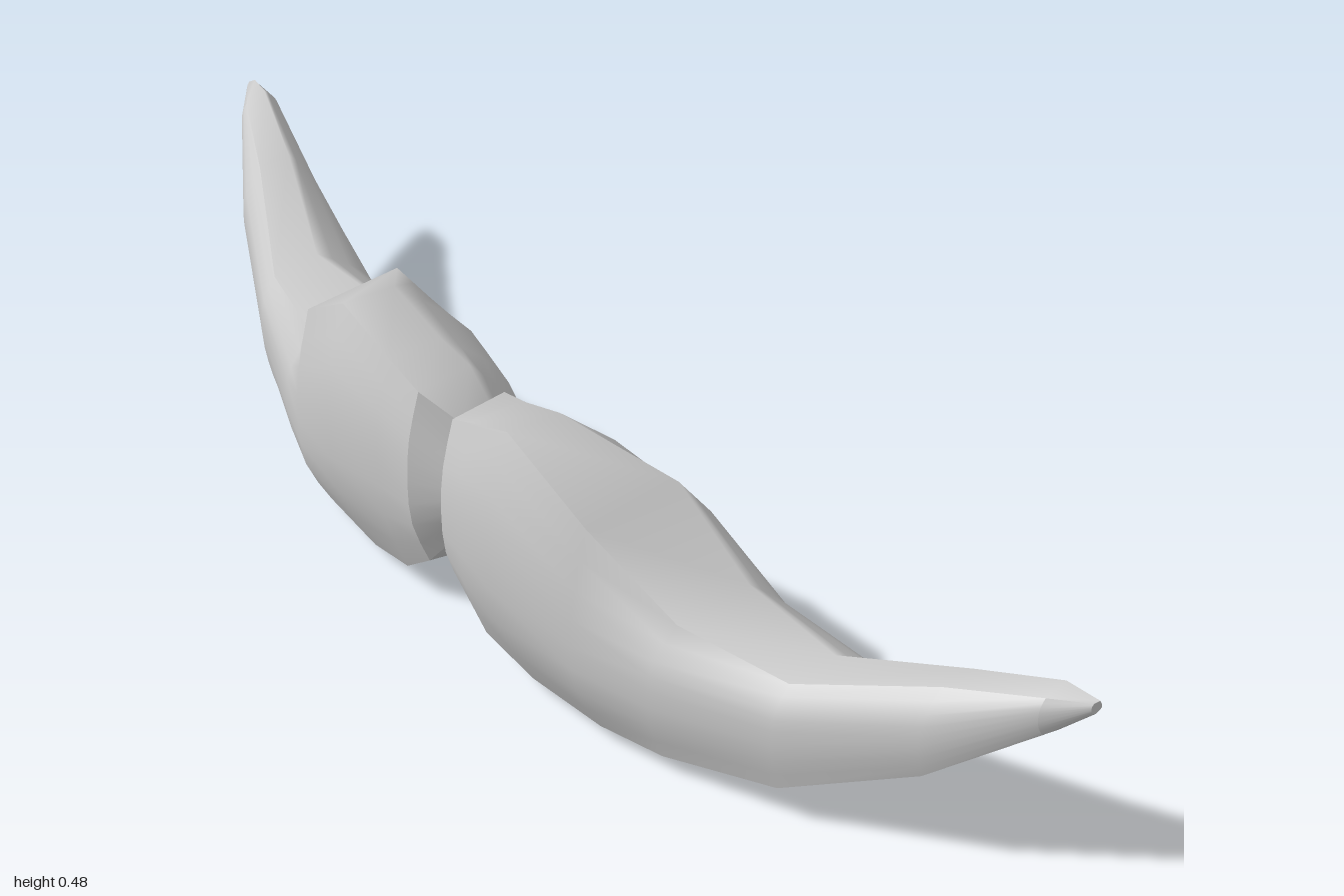
import * as THREE from 'three';

// Cross-sections along one half: x, then (y, z) of
// upper front edge, front bulge, lower front edge, underside, back, upper back
const SECTIONS = [
  [0.00, 0.355, 0.10, 0.26, 0.135, 0.17, 0.10, 0.16, 0.06, 0.26, -0.005, 0.365, 0.05],
  [0.042, 0.41, 0.15, 0.26, 0.172, 0.105, 0.135, 0.095, 0.07, 0.25, -0.035, 0.42, 0.06],
  [0.10, 0.44, 0.16, 0.28, 0.185, 0.06, 0.135, 0.05, 0.05, 0.25, -0.07, 0.44, 0.07],
  [0.20, 0.485, 0.17, 0.29, 0.204, 0.035, 0.125, 0.02, 0.04, 0.22, -0.105, 0.48, 0.08],
  [0.34, 0.39, 0.14, 0.20, 0.165, 0.032, 0.11, 0.003, 0.03, 0.17, -0.135, 0.402, -0.02],
  [0.45, 0.26, 0.065, 0.17, 0.115, 0.038, 0.085, 0.012, -0.01, 0.14, -0.157, 0.275, -0.06],
  [0.63, 0.25, 0.015, 0.18, 0.042, 0.073, 0.027, 0.06, -0.07, 0.14, -0.177, 0.262, -0.065],
  [0.82, 0.32, -0.085, 0.25, -0.05, 0.18, -0.06, 0.175, -0.12, 0.23, -0.195, 0.325, -0.14],
  [0.95, 0.357, -0.145, 0.33, -0.135, 0.295, -0.145, 0.29, -0.175, 0.33, -0.206, 0.37, -0.18],
  [1.00, 0.362, -0.183, 0.354, -0.179, 0.345, -0.183, 0.343, -0.188, 0.35, -0.198, 0.362, -0.194],
];

// Points of one section, in order around it
const corners = (s) => [0, 1, 2, 3, 4, 5].map((i) => new THREE.Vector3(s[0], s[1 + 2 * i], s[2 + 2 * i]));

// Full, rounded arc from a to b by way of the bulge m
function bulge(a, m, b, fullness, n) {
  const between = (p) => new THREE.Vector3(m.x, (p.y + m.y) / 2, THREE.MathUtils.lerp(p.z, m.z, fullness));
  return new THREE.CatmullRomCurve3([a, between(a), m, between(b), b]).getPoints(n);
}
const frontArc = (s) => {
  const c = corners(s);
  return bulge(c[0], c[1], c[2], 0.8, 8);
};
const backArc = (s) => {
  const c = corners(s);
  return [c[2], ...bulge(c[3], c[4], c[5], 0.73, 12), c[0]];
};

function makeGeometry(points, index, side) {
  const g = new THREE.BufferGeometry().setFromPoints(
    points.map((p) => new THREE.Vector3(p.x * side, p.y, p.z)));
  // the mirrored half needs the opposite corner order
  if (side < 0) for (let i = 0; i < index.length; i += 3) [index[i], index[i + 1]] = [index[i + 1], index[i]];
  g.setIndex(index);
  g.computeVertexNormals();
  return g;
}

// Smooth skin stretched over a row of arcs
function loft(arcs, side) {
  const n = arcs[0].length, index = [];
  for (let u = 0; u < arcs.length - 1; u++) {
    for (let v = 0; v < n - 1; v++) {
      const a = u * n + v, b = a + n;
      index.push(a, a + 1, b, a + 1, b + 1, b);
    }
  }
  return makeGeometry(arcs.flat(), index, side);
}

// Flat end closing a section
function cap(section, outward, side) {
  const ring = [...frontArc(section), ...backArc(section).slice(1, -1)];
  const centre = ring.reduce((sum, p) => sum.add(p), new THREE.Vector3()).divideScalar(ring.length);
  const n = ring.length, index = [];
  for (let i = 0; i < n; i++) {
    const j = (i + 1) % n;
    if (outward) index.push(n, i, j);
    else index.push(n, j, i);
  }
  return makeGeometry([...ring, centre], index, side);
}

export function createModel() {
  const model = new THREE.Group();
  model.name = 'moustache';
  const hair = new THREE.MeshStandardMaterial({ color: 0xcccccc });
  hair.name = 'light grey hair';
  const fronts = SECTIONS.map(frontArc);
  const backs = SECTIONS.map(backArc);

  for (const side of [1, -1]) {
    const half = new THREE.Group();
    half.name = side > 0 ? 'leftHalf' : 'rightHalf';
    const add = (name, geometry) => {
      const mesh = new THREE.Mesh(geometry, hair);
      mesh.name = name;
      half.add(mesh);
    };
    // separate skins keep the front edges crisp
    add('innerBevel', loft(fronts.slice(0, 2), side));
    add('frontFace', loft(fronts.slice(1, 9), side));
    add('tipFront', loft(fronts.slice(8), side));
    add('backAndUnderside', loft(backs, side));
    add('innerEnd', cap(SECTIONS[0], false, side));
    add('tipEnd', cap(SECTIONS[SECTIONS.length - 1], true, side));
    model.add(half);
  }
  return model;
}
